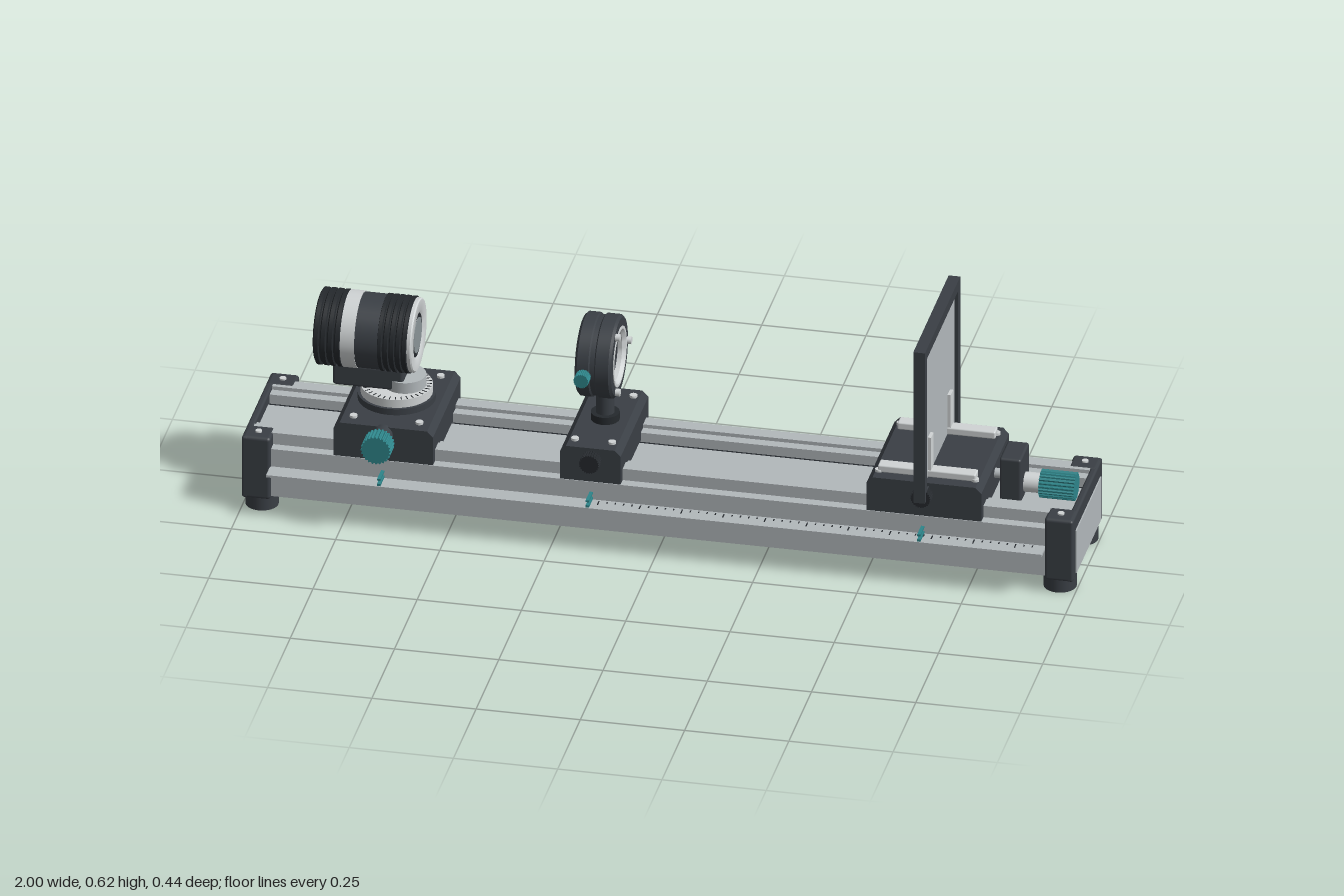
import * as THREE from 'three';
import { toCreasedNormals } from 'three/addons/utils/BufferGeometryUtils.js';
import { RoundedBoxGeometry } from 'three/addons/geometries/RoundedBoxGeometry.js';

export function createModel() {
  const root = new THREE.Group();
  root.name = 'opticalBench';
  const bench = new THREE.Group();
  bench.name = 'bench';
  bench.position.z = -0.011;
  root.add(bench);

  const material = (name, color) => {
    const m = new THREE.MeshStandardMaterial({ color });
    m.name = name;
    return m;
  };
  const alu = material('aluminium', 0xb2b8bb);
  const dark = material('charcoal', 0x3a3f45);
  const black = material('black', 0x25292d);
  const teal = material('teal', 0x2e858a);
  const white = material('pale metal', 0xd0d4d5);
  const glass = material('glass', 0x8b9498);

  const add = (name, geo, mat, x = 0, y = 0, z = 0, parent = bench) => {
    const m = new THREE.Mesh(geo, mat);
    m.name = name;
    m.position.set(x, y, z);
    parent.add(m);
    return m;
  };
  // Box given by its limits on each axis
  const box = (name, mat, x0, x1, y0, y1, z0, z1, r = 0) => {
    const s = [x1 - x0, y1 - y0, z1 - z0];
    const geo = r ? new RoundedBoxGeometry(...s, 2, r) : new THREE.BoxGeometry(...s);
    return add(name, geo, mat, (x0 + x1) / 2, (y0 + y1) / 2, (z0 + z1) / 2);
  };
  // Turned part: [radius, offset] pairs, lying along x
  const turned = (name, mat, pts, x, y, z = 0) => {
    const lathe = new THREE.LatheGeometry(pts.map((p) => new THREE.Vector2(...p)), 48);
    return add(name, toCreasedNormals(lathe.rotateZ(-Math.PI / 2), 0.6), mat, x, y, z);
  };
  const cylinder = (name, mat, r, h, x, y, z, axis = 'y') => {
    const geo = new THREE.CylinderGeometry(r, r, h, 32);
    if (axis === 'x') geo.rotateZ(-Math.PI / 2);
    if (axis === 'z') geo.rotateX(Math.PI / 2);
    return add(name, geo, mat, x, y, z);
  };
  // Ribbed hand knob starting at the given point and running along z or x
  const knob = (name, mat, r, len, x, y, z, axis = 'z') => {
    const shape = new THREE.Shape();
    const n = 96;
    for (let i = 0; i < n; i++) {
      const a = (i / n) * Math.PI * 2;
      const q = i % 4 < 2 ? r : r * 0.91;
      if (i) shape.lineTo(Math.cos(a) * q, Math.sin(a) * q);
      else shape.moveTo(q, 0);
    }
    const geo = new THREE.ExtrudeGeometry(shape, { depth: len, bevelEnabled: false });
    if (axis === 'x') geo.rotateY(Math.PI / 2);
    return add(name, geo, mat, x, y, z);
  };

  // Rail: mirrored cross-section with two raised tracks and two slots
  const half = [[0.155, 0.04], [0.155, 0.165], [0.13, 0.165], [0.13, 0.195], [0.095, 0.195],
    [0.095, 0.186], [0.07, 0.186], [0.07, 0.145], [0.053, 0.145], [0.053, 0.168]];
  const outline = [...half, ...half.map(([z, y]) => [-z, y]).reverse()];
  const railShape = new THREE.Shape(outline.map((p) => new THREE.Vector2(...p)));
  const railGeo = new THREE.ExtrudeGeometry(railShape, { depth: 1.96, bevelEnabled: false });
  add('rail', railGeo.rotateY(Math.PI / 2), alu, -0.98);
  for (const s of [-1, 1]) {
    box('railSlot', black, -0.98, 0.98, 0.144, 0.162, s * 0.0615 - 0.008, s * 0.0615 + 0.008);
  }

  // End caps, corner blocks and feet
  for (const e of [-1, 1]) {
    const span = (a, b) => (e > 0 ? [a, b] : [-b, -a]);
    box('endPlate', dark, ...span(0.98, 0.997), 0.033, 0.195, -0.164, 0.164, 0.006);
    for (const s of [-1, 1]) {
      const z = s * 0.133;
      box('cornerBlock', dark, ...span(0.928, 0.996), 0.033, 0.196, z - 0.031, z + 0.031, 0.008);
      cylinder('foot', dark, 0.039, 0.046, e * 0.957, 0.023, s * 0.119);
      cylinder('capBolt', white, 0.008, 0.006, e * 0.962, 0.197, s * 0.133);
    }
  }
  box('endPanel', alu, 0.992, 1, 0.045, 0.158, -0.137, 0.137);

  // Front scale with tick marks, and rear plate
  box('scaleLedge', alu, -0.93, 0.93, 0.113, 0.119, 0.15, 0.2);
  for (let i = 0; i <= 52; i++) {
    const x = -0.14 + i * 0.02;
    const len = i % 5 ? 0.008 : 0.018;
    box('scaleTick', black, x - 0.0015, x + 0.0015, 0.119, 0.1196, 0.161, 0.161 + len);
  }
  box('rearPlate', dark, -0.45, 0.445, 0.107, 0.113, -0.211, -0.15);
  for (const x of [-0.66, -0.16, 0.635]) {
    box('pointerLower', teal, x - 0.004, x + 0.004, 0.12, 0.126, 0.15, 0.199);
    box('pointerUpper', teal, x - 0.004, x + 0.004, 0.134, 0.139, 0.15, 0.199);
  }

  // Carriages with chamfered tops
  const carriage = (name, x0, x1, boltX) => {
    const c = 0.014;
    const shape = new THREE.Shape([[x0, 0.165], [x1, 0.165], [x1, 0.238], [x1 - c, 0.253],
      [x0 + c, 0.253], [x0, 0.238]].map((p) => new THREE.Vector2(...p)));
    const geo = new THREE.ExtrudeGeometry(shape, { depth: 0.306, bevelEnabled: false });
    add(name, geo, dark, 0, 0, -0.153);
    for (const x of [x0 + boltX, x1 - boltX]) {
      for (const s of [-1, 1]) cylinder('carriageBolt', white, 0.009, 0.008, x, 0.255, s * 0.118);
    }
  };
  carriage('lampCarriage', -0.778, -0.54, 0.04);
  carriage('lensCarriage', -0.235, -0.09, 0.028);
  carriage('screenCarriage', 0.5, 0.775, 0.022);

  // Clamp knobs on the front of each carriage
  cylinder('clampShaft', dark, 0.024, 0.05, -0.66, 0.232, 0.17, 'z');
  knob('lampClampKnob', teal, 0.036, 0.044, -0.66, 0.232, 0.19);
  for (const x of [-0.16, 0.635]) {
    knob('clampKnob', black, 0.024, 0.028, x, 0.224, 0.153);
  }

  // Lamp turntable and cradle
  cylinder('turntableBase', dark, 0.092, 0.018, -0.66, 0.26, 0);
  cylinder('turntable', white, 0.085, 0.022, -0.66, 0.279, 0);
  for (let i = 0; i < 36; i++) {
    const a = (i / 36) * Math.PI * 2;
    const mark = add('angleMark', new THREE.BoxGeometry(0.012, 0.001, 0.002), black,
      -0.66 + Math.cos(a) * 0.077, 0.2905, -Math.sin(a) * 0.077);
    mark.rotation.y = a;
  }
  cylinder('turntableHub', alu, 0.05, 0.03, -0.64, 0.303, 0);
  box('lampCradle', dark, -0.805, -0.635, 0.292, 0.35, -0.045, 0.045, 0.008);

  // Lamp barrel, ribbed at both ends
  const ribs = (from, to, count, r) => {
    const pts = [[0, from]];
    const w = (to - from) / count;
    for (let i = 0; i < count; i++) {
      const t = from + i * w;
      pts.push([r - 0.006, t], [r, t + w * 0.2], [r, t + w * 0.75], [r - 0.006, t + w * 0.85]);
    }
    pts.push([r - 0.006, to], [0, to]);
    return pts;
  };
  const lampY = 0.423;
  turned('lampRearGrip', black, ribs(-0.843, -0.775, 4, 0.092), 0, lampY);
  cylinder('lampRing', white, 0.092, 0.034, -0.76, lampY, 0, 'x');
  cylinder('lampBody', dark, 0.09, 0.06, -0.715, lampY, 0, 'x');
  turned('lampFrontGrip', black, ribs(-0.69, -0.616, 5, 0.092), 0, lampY);
  turned('lampFrontRing', white, [[0.052, -0.618], [0.089, -0.618], [0.089, -0.61],
    [0.086, -0.607], [0.06, -0.607], [0.052, -0.612], [0.052, -0.618]], 0, lampY);
  cylinder('lampApertureRim', black, 0.053, 0.006, -0.614, lampY, 0, 'x');
  cylinder('lampGlass', glass, 0.043, 0.006, -0.612, lampY, 0, 'x');

  // Lens holder on its post
  const lensX = -0.168;
  const lensY = 0.421;
  cylinder('lensPost', dark, 0.022, 0.09, -0.16, 0.293, 0);
  cylinder('lensPostCollar', black, 0.034, 0.02, -0.16, 0.262, 0);
  turned('lensHolder', dark, [[0.07, -0.045], [0.094, -0.045], [0.1, -0.039], [0.1, -0.012],
    [0.096, -0.009], [0.096, 0.002], [0.1, 0.005], [0.1, 0.036], [0.094, 0.042],
    [0.07, 0.042], [0.07, -0.045]], lensX, lensY);
  turned('lensRetainer', white, [[0.058, 0.025], [0.073, 0.025], [0.073, 0.044],
    [0.066, 0.044], [0.058, 0.036], [0.058, 0.025]], lensX, lensY);
  turned('lensRearRing', black, [[0.058, -0.04], [0.071, -0.04], [0.071, -0.02],
    [0.058, -0.02], [0.058, -0.04]], lensX, lensY);
  turned('lens', glass, [[0, -0.016], [0.03, -0.013], [0.07, -0.002], [0.07, 0.002],
    [0.03, 0.013], [0, 0.016]], lensX, lensY);
  for (let i = 0; i < 3; i++) {
    const a = Math.PI / 3 + (i * Math.PI * 2) / 3;
    cylinder('retainerScrew', white, 0.009, 0.014, lensX + 0.046,
      lensY + Math.sin(a) * 0.084, Math.cos(a) * 0.084, 'x');
  }
  cylinder('lensScrewShaft', white, 0.008, 0.02, -0.188, lensY, 0.106, 'z');
  knob('lensScrewKnob', teal, 0.018, 0.028, -0.188, lensY, 0.113);

  // Screen: open frame, pane, and two clips on feet bars
  const screenX = 0.635;
  for (const s of [-1, 1]) {
    const z = s * 0.183;
    box('screenSide', dark, screenX - 0.014, screenX + 0.014, 0.22, 0.62, z - 0.012, z + 0.012);
    const c = s * 0.108;
    box('screenClip', white, screenX - 0.013, screenX + 0.013, 0.255, 0.357, c - 0.014, c + 0.014);
    box('clipBar', white, 0.52, 0.755, 0.252, 0.271, c - 0.016, c + 0.016, 0.004);
  }
  box('screenTop', dark, screenX - 0.014, screenX + 0.014, 0.594, 0.62, -0.172, 0.172);
  box('screenBottom', dark, screenX - 0.014, screenX + 0.014, 0.22, 0.245, -0.172, 0.172);
  box('screenPane', alu, screenX - 0.005, screenX + 0.005, 0.244, 0.596, -0.173, 0.173);

  // Fine adjuster at the right end
  box('adjusterBracket', dark, 0.795, 0.847, 0.165, 0.28, -0.047, 0.047, 0.006);
  cylinder('adjusterScrew', alu, 0.012, 0.06, 0.785, 0.215, 0, 'x');
  cylinder('adjusterSleeve', white, 0.024, 0.045, 0.867, 0.2, 0, 'x');
  knob('adjusterKnob', teal, 0.034, 0.085, 0.885, 0.2, 0, 'x');

  return root;
}
